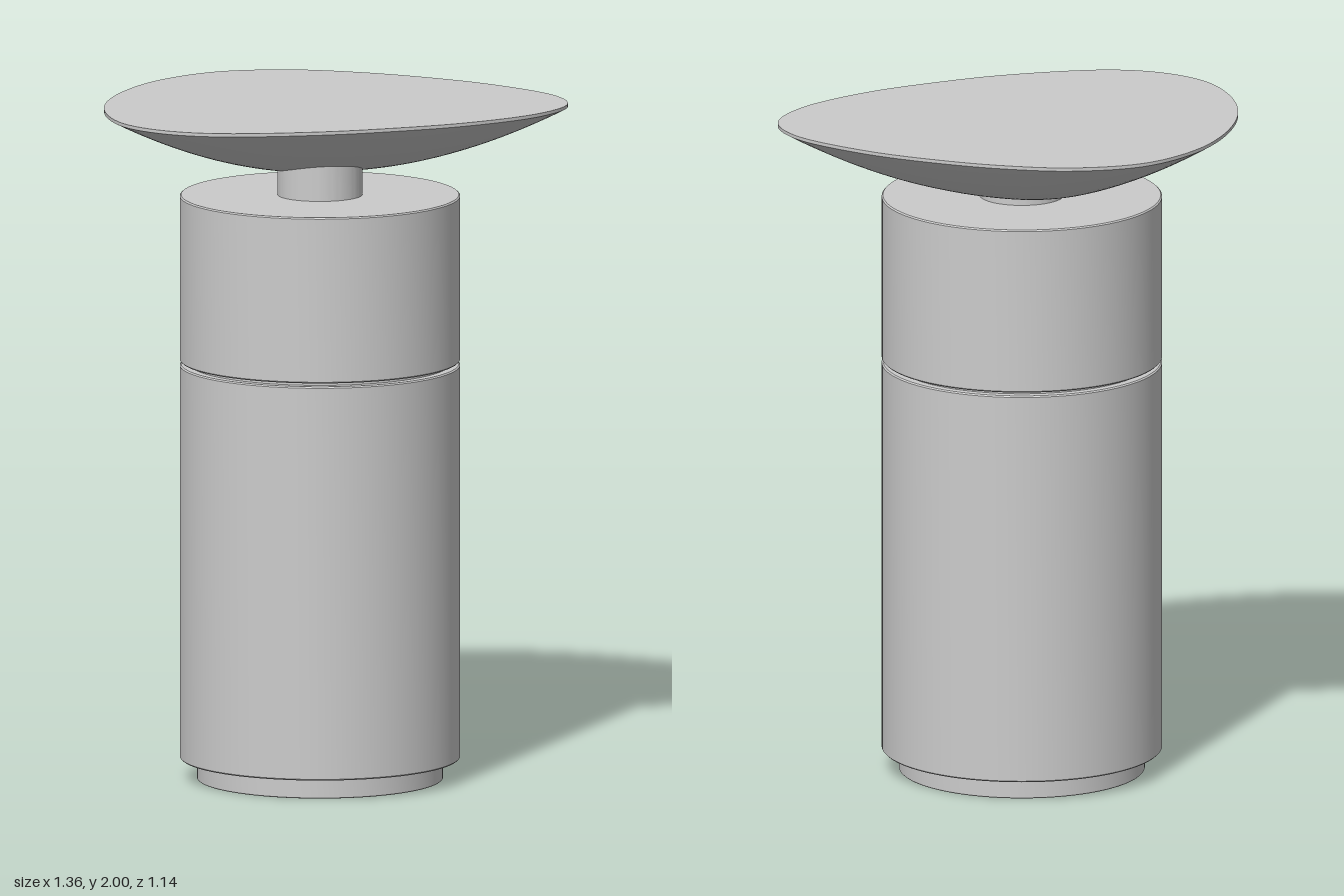
import * as THREE from 'three';
import { toCreasedNormals } from 'three/addons/utils/BufferGeometryUtils.js';

const material = new THREE.MeshStandardMaterial({ color: 0xcccccc });

// Solid cylinder with finely chamfered edges
function drum(name, radius, y0, y1, chamfer) {
  const profile = [
    [0, y0], [radius - chamfer, y0], [radius, y0 + chamfer],
    [radius, y1 - chamfer], [radius - chamfer, y1], [0, y1],
  ].map(([r, y]) => new THREE.Vector2(r, y));
  const mesh = new THREE.Mesh(toCreasedNormals(new THREE.LatheGeometry(profile, 96), 0.5), material);
  mesh.name = name;
  return mesh;
}

// Flat-topped dish: one rounded-triangle outline scaled ring by ring
function dish() {
  const outline = new THREE.CatmullRomCurve3([
    [0.677, -0.047], [0.625, -0.2], [0.42, -0.375], [0.2, -0.485], [0, -0.55],
    [-0.196, -0.573], [-0.4, -0.52], [-0.55, -0.37], [-0.64, -0.17],
    [-0.678, 0.07], [-0.65, 0.28], [-0.575, 0.44], [-0.45, 0.535],
    [-0.294, 0.567], [0, 0.508], [0.2, 0.425], [0.42, 0.3], [0.61, 0.12],
  ].map(([x, z]) => new THREE.Vector3(x, 0, z)), true).getSpacedPoints(120);
  const low = { x: -0.03, z: -0.08 };

  // Rings of [scale, height]: curved underside, thin rim, flat top
  const rings = [];
  const steps = 28;
  for (let i = 0; i <= steps; i++) {
    const s = i / steps;
    rings.push([s, 1.79 + 0.2 * Math.pow(s, 1.85)]);
  }
  rings.push([1, 2], [0, 2]);

  const n = outline.length;
  const positions = [];
  const index = [];
  rings.forEach(([s, y], i) => {
    outline.forEach((p, j) => {
      positions.push(low.x + (p.x - low.x) * s, y, low.z + (p.z - low.z) * s);
      if (i === rings.length - 1 || j === n - 1) return;
      const a = i * n + j;
      const c = a + n;
      if (s > 0) index.push(a, a + 1, c + 1);
      if (rings[i + 1][0] > 0) index.push(a, c + 1, c);
    });
  });
  const geometry = new THREE.BufferGeometry();
  geometry.setAttribute('position', new THREE.Float32BufferAttribute(positions, 3));
  geometry.setIndex(index);
  const mesh = new THREE.Mesh(toCreasedNormals(geometry, 0.5), material);
  mesh.name = 'dishTop';
  return mesh;
}

export function createModel() {
  const model = new THREE.Group();
  model.name = 'pedestalWithDish';

  // Column of stacked drums, set off-centre below the dish
  const column = new THREE.Group();
  column.name = 'column';
  column.position.set(-0.041, 0, 0.095);
  column.add(
    drum('plinth', 0.362, 0, 0.07, 0.002),
    drum('lowerBody', 0.413, 0.062, 1.238, 0.004),
    drum('shadowGap', 0.385, 1.23, 1.256, 0.002),
    drum('upperBody', 0.413, 1.248, 1.743, 0.004),
    drum('neck', 0.125, 1.735, 1.86, 0.002),
  );
  model.add(column, dish());
  return model;
}
